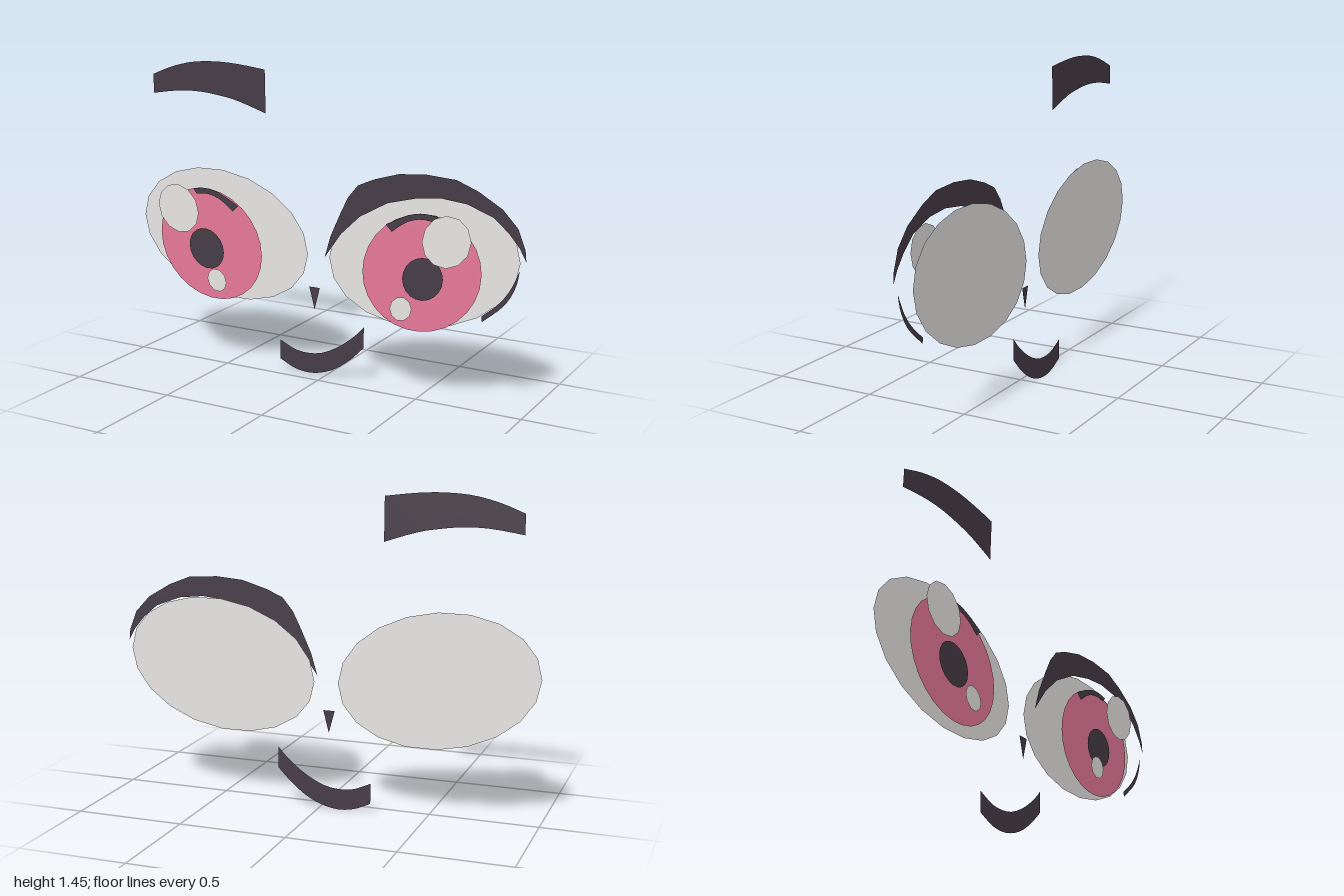
import * as THREE from 'three';

const flat = (name, color) => {
  const m = new THREE.MeshStandardMaterial({ color, side: THREE.DoubleSide });
  m.name = name;
  return m;
};

export function createModel() {
  const white = flat('eye white', 0xfffdfc);
  const pink = flat('iris pink', 0xff86aa);
  const dark = flat('dark plum', 0x463c46);

  const model = new THREE.Group();
  model.name = 'face';

  // Flat plate from an outline; lean tips its upper edge forward
  function plate(parent, name, points, z, material, lean = 0) {
    const geo = new THREE.ShapeGeometry(new THREE.Shape(points.map(([x, y]) => new THREE.Vector2(x, y))));
    const pos = geo.attributes.position;
    for (let i = 0; i < pos.count; i++) pos.setZ(i, z + lean * pos.getY(i));
    geo.computeVertexNormals();
    const mesh = new THREE.Mesh(geo, material);
    mesh.name = name;
    parent.add(mesh);
  }

  // Slightly slanted oval outline
  function oval(cx, cy, rx, ry, sides, skew = 0) {
    return Array.from({ length: sides }, (_, i) => {
      const t = (i / sides) * Math.PI * 2;
      return [cx + rx * Math.cos(t), cy + ry * Math.sin(t + skew)];
    });
  }

  // Smooth band between an upper and a lower edge
  function band(upper, lower, steps = 14) {
    const smooth = (pts) => new THREE.SplineCurve(pts.map(([x, y]) => new THREE.Vector2(x, y)))
      .getPoints(steps).map((p) => [p.x, p.y]);
    return [...smooth(upper), ...smooth(lower).reverse()];
  }

  // Eyes, mirrored about the nose line
  const noseX = -0.0235;
  for (const [name, side] of [['rightEye', 1], ['leftEye', -1]]) {
    const eye = new THREE.Group();
    eye.name = name;
    model.add(eye);
    const place = (pts) => pts.map(([x, y]) => [side > 0 ? x : 2 * noseX - x, y]);
    plate(eye, 'eyeWhite', place(oval(-0.54, 0.63, 0.46, 0.312, 20, -0.145)), -0.05, white);
    plate(eye, 'iris', place(oval(-0.57, 0.592, 0.284, 0.267, 28, -0.1)), 0.02, pink);
    plate(eye, 'pupil', place(oval(-0.585, 0.57, 0.097, 0.097, 20, -0.1)), 0.033, dark);
    plate(eye, 'irisShade', place(band(
      [[-0.655, 0.855], [-0.58, 0.862], [-0.5, 0.843], [-0.405, 0.795]],
      [[-0.635, 0.83], [-0.57, 0.835], [-0.5, 0.813], [-0.435, 0.765]], 8)), 0.033, dark);
    plate(eye, 'largeHighlight', place(oval(-0.712, 0.76, 0.114, 0.116, 12, -0.1)), 0.075, white);
    plate(eye, 'smallHighlight', place(oval(-0.502, 0.435, 0.053, 0.055, 10, -0.1)), 0.075, white);
  }

  // Lashes on the left eye
  const upperLash = [
    [0.04, 0.6], [0.07, 0.7], [0.12, 0.81], [0.16, 0.89], [0.21, 0.95], [0.29, 0.985], [0.41, 1.02],
    [0.54, 1.03], [0.68, 1.02], [0.78, 0.98], [0.89, 0.915], [0.96, 0.84], [0.995, 0.75], [1, 0.7],
    [0.97, 0.755], [0.92, 0.815], [0.85, 0.875], [0.73, 0.92], [0.61, 0.933], [0.49, 0.92],
    [0.355, 0.885], [0.22, 0.81], [0.125, 0.72]];
  plate(model, 'upperLash', upperLash, -0.002, dark, 0.016);
  plate(model, 'lowerLash', band(
    [[0.97, 0.655], [0.93, 0.565], [0.875, 0.495], [0.805, 0.435]],
    [[0.971, 0.65], [0.955, 0.58], [0.905, 0.495], [0.808, 0.41]], 8), -0.002, dark, 0.016);

  // Single raised brow
  plate(model, 'brow', band(
    [[-0.9, 1.375], [-0.79, 1.417], [-0.67, 1.445], [-0.54, 1.453], [-0.42, 1.447], [-0.28, 1.43]],
    [[-0.9, 1.285], [-0.76, 1.305], [-0.64, 1.308], [-0.52, 1.295], [-0.42, 1.275], [-0.28, 1.23]]),
  -0.045, dark, 0.024);

  // Nose and smile
  plate(model, 'nose', [[-0.051, 0.445], [-0.023, 0.34], [0.004, 0.445]], -0.012, dark);
  plate(model, 'mouth', band(
    [[-0.245, 0.14], [-0.17, 0.107], [-0.1, 0.098], [-0.02, 0.11], [0.07, 0.155], [0.15, 0.217], [0.2, 0.27]],
    [[-0.245, 0.045], [-0.17, 0.012], [-0.1, 0.001], [-0.03, 0.01], [0.05, 0.042], [0.13, 0.1], [0.2, 0.17]]),
  -0.075, dark);

  return model;
}
